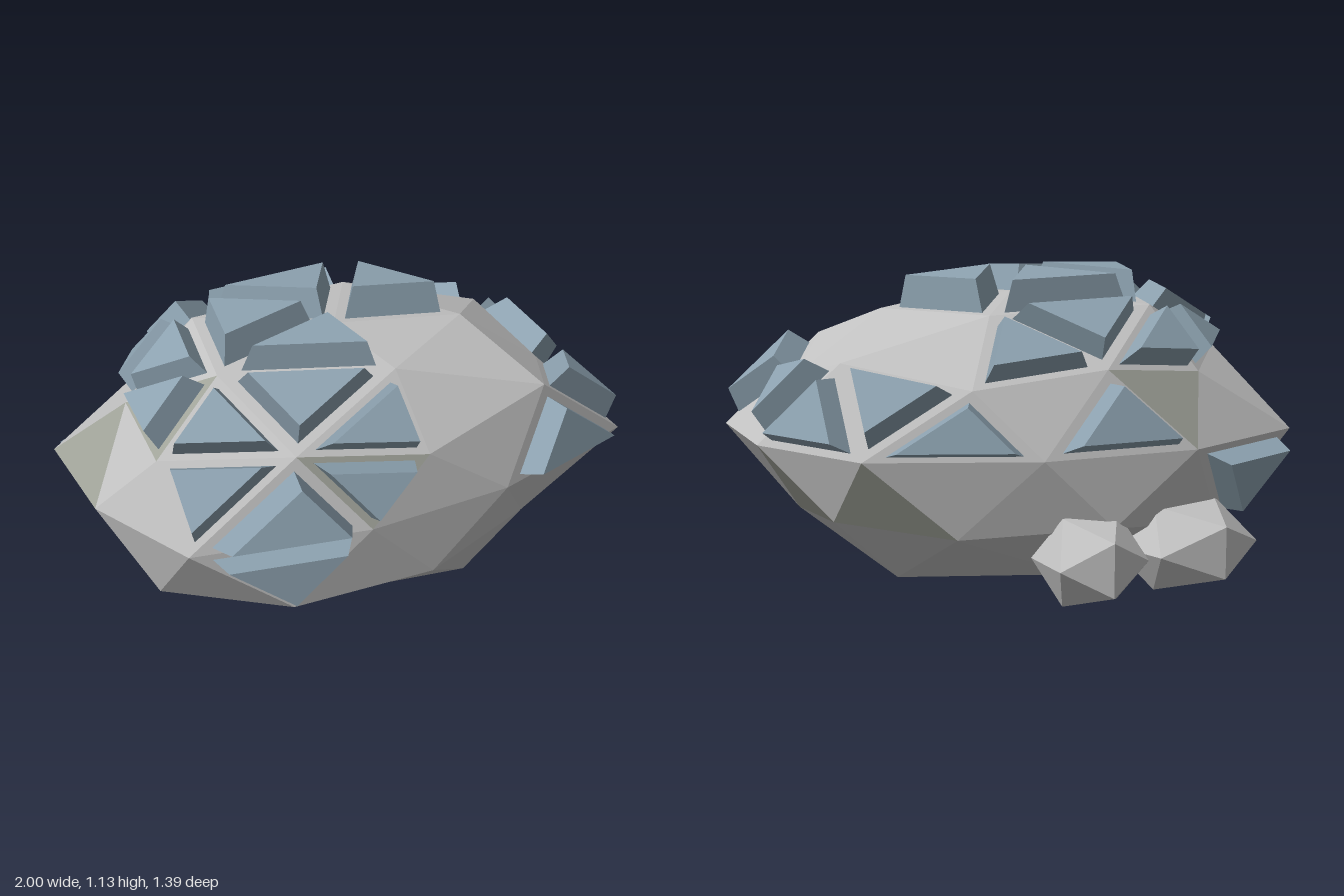
import * as THREE from 'three';

// Rings of a subdivided icosahedron, top to bottom: P, U, V, M, E (equator), W, N, L, Q
const rings = {
  P: [[-0.02, 1.03, 0.02]],
  U: [[0.45, 0.98, 0], [0.11, 1.0, 0.32], [-0.476, 1.0, 0.2], [-0.476, 1.0, -0.2], [0.11, 0.99, -0.32]],
  V: [[0.75, 0.755, 0], [0.18, 0.757, 0.5], [-0.72, 0.785, 0.33], [-0.63, 0.775, -0.3], [0.2, 0.77, -0.53]],
  M: [[0.65, 0.85, 0.33], [-0.28, 0.82, 0.485], [-0.76, 0.82, 0], [-0.27, 0.82, -0.475], [0.62, 0.84, -0.32]],
  E: [[1, 0.54, 0.22], [0.48, 0.54, 0.47], [-0.04, 0.54, 0.575], [-0.67, 0.54, 0.56], [-0.92, 0.54, 0.2],
    [-1, 0.54, -0.2], [-0.58, 0.54, -0.5], [-0.03, 0.54, -0.61], [0.57, 0.54, -0.53], [0.9, 0.54, -0.19]],
  W: [[0.6, 0.316, 0.316], [-0.32, 0.275, 0.585], [-0.8, 0.3, 0], [-0.28, 0.29, -0.56], [0.65, 0.29, -0.32]],
  N: [[0.75, 0.27, 0], [0.2, 0.275, 0.52], [-0.735, 0.24, 0.33], [-0.7, 0.24, -0.33], [0.25, 0.26, -0.52]],
  L: [[0.42, 0.02, 0.23], [-0.2, 0.08, 0.31], [-0.63, 0.005, 0], [-0.2, 0.06, -0.3], [0.42, 0.05, -0.2]],
  Q: [[0, 0, 0]],
};
const vertex = (name) => new THREE.Vector3(...rings[name[0]][+name[1]]);
const key = (names) => names.slice().sort().join(' ');

// All 80 faces of the boulder, as vertex names
function boulderFaces() {
  const faces = [];
  for (let k = 0; k < 5; k++) {
    const n = (k + 1) % 5, p = (k + 4) % 5;
    const a = `E${2 * k}`, b = `E${2 * k + 1}`, c = `E${2 * p + 1}`;
    faces.push(
      ['P0', `U${k}`, `U${n}`], [`U${k}`, `V${k}`, `M${k}`], [`U${k}`, `M${k}`, `U${n}`], [`U${n}`, `M${k}`, `V${n}`],
      [`V${k}`, a, `M${k}`], [`M${k}`, a, b], [`V${n}`, `M${k}`, b], [a, `W${k}`, b],
      [`V${k}`, c, a], [c, `W${p}`, `N${k}`], [c, `N${k}`, a], [a, `N${k}`, `W${k}`],
      ['Q0', `L${k}`, `L${n}`], [`L${k}`, `W${k}`, `N${n}`], [`L${k}`, `N${n}`, `L${n}`], [`L${n}`, `N${n}`, `W${n}`]);
  }
  return faces;
}

// Faces carrying a raised plate, with the plate heights
const plates = {
  'P0 U2 U3': 0.11, 'P0 U3 U4': 0.11, 'P0 U4 U0': 0.115, 'P0 U1 U2': 0.095,
  'U2 M1 U1': 0.11, 'U1 V1 M1': 0.11, 'U2 V2 M1': 0.115, 'V2 M1 E3': 0.12,
  'M1 E2 E3': 0.14, 'V1 E2 M1': 0.11, 'E2 W1 E3': 0.085, 'U2 M2 U3': 0.08,
  'U2 V2 M2': 0.09, 'U3 M2 V3': 0.08, 'U3 V3 M3': 0.1, 'U3 M3 U4': 0.085,
  'U4 M3 V4': 0.085, 'M3 E6 E7': 0.11, 'V4 E7 E8': 0.105, 'V4 E8 M4': 0.1,
  'M4 E8 E9': 0.085, 'V0 M4 E9': 0.09, 'V0 M0 E0': 0.09, 'M0 E0 E1': 0.085, 'E5 N3 E6': 0.09,
};
const mossyFaces = ['V3 M3 E6', 'M2 E4 E5', 'U2 V2 M2', 'V1 E2 M1', 'E8 W4 N4', 'E9 N0 W4', 'L1 N2 W1']
  .map((f) => key(f.split(' ')));

// Flat triangles, each turned to face away from the given centre
function triangles(list, centre) {
  const pts = [];
  for (const [a, b, c] of list) {
    const normal = b.clone().sub(a).cross(c.clone().sub(a));
    const out = a.clone().add(b).add(c).divideScalar(3).sub(centre);
    pts.push(...(normal.dot(out) > 0 ? [a, b, c] : [a, c, b]));
  }
  const g = new THREE.BufferGeometry().setFromPoints(pts);
  g.computeVertexNormals();
  return g;
}

// Tapered triangular plate standing on one face
function plateGeometry(corners, height, core) {
  const mid = corners[0].clone().add(corners[1]).add(corners[2]).divideScalar(3);
  const normal = corners[1].clone().sub(corners[0]).cross(corners[2].clone().sub(corners[0])).normalize();
  if (normal.dot(mid.clone().sub(core)) < 0) normal.negate();
  const level = (scale, h) => corners.map((c) => mid.clone().lerp(c, scale).addScaledVector(normal, h));
  const low = level(0.77, -0.01), high = level(0.64, height);
  const list = [high];
  for (let i = 0; i < 3; i++) {
    const j = (i + 1) % 3;
    list.push([low[i], low[j], high[j]], [low[i], high[j], high[i]]);
  }
  return triangles(list, mid.clone().addScaledVector(normal, height * 0.4));
}

export function createModel() {
  const stone = new THREE.MeshStandardMaterial({ color: 0xc2c2c2 });
  const moss = new THREE.MeshStandardMaterial({ color: 0xa0a399 });
  const slate = new THREE.MeshStandardMaterial({ color: 0x8da2b0 });
  stone.name = 'grey stone';
  moss.name = 'mossy stone';
  slate.name = 'blue slate';

  const model = new THREE.Group();
  model.name = 'boulder';
  const add = (name, geometry, material, parent = model) => {
    const mesh = new THREE.Mesh(geometry, material);
    mesh.name = name;
    parent.add(mesh);
    return mesh;
  };

  // Main boulder, split by colour
  const core = new THREE.Vector3(0, 0.54, 0);
  const faces = boulderFaces();
  const isMossy = (f) => mossyFaces.includes(key(f));
  const pick = (mossy) => triangles(faces.filter((f) => isMossy(f) === mossy).map((f) => f.map(vertex)), core);
  add('boulderBody', pick(false), stone);
  add('mossyPatches', pick(true), moss);

  // Raised slate plates
  const shell = new THREE.Group();
  shell.name = 'slatePlates';
  model.add(shell);
  for (const [face, height] of Object.entries(plates)) {
    add('slatePlate', plateGeometry(face.split(' ').map(vertex), height, core), slate, shell);
  }

  // Two small stones at the back: position, half sizes, turn
  const stones = [
    [[-0.2, 0.18, -0.535], [0.2, 0.18, 0.2], 0.3],
    [[-0.56, 0.19, -0.41], [0.26, 0.175, 0.22], 0.5],
  ];
  for (const [position, size, turn] of stones) {
    const geometry = new THREE.IcosahedronGeometry(1, 0).rotateY(turn).scale(...size);
    geometry.computeVertexNormals();
    add('smallStone', geometry, stone).position.set(...position);
  }
  return model;
}
